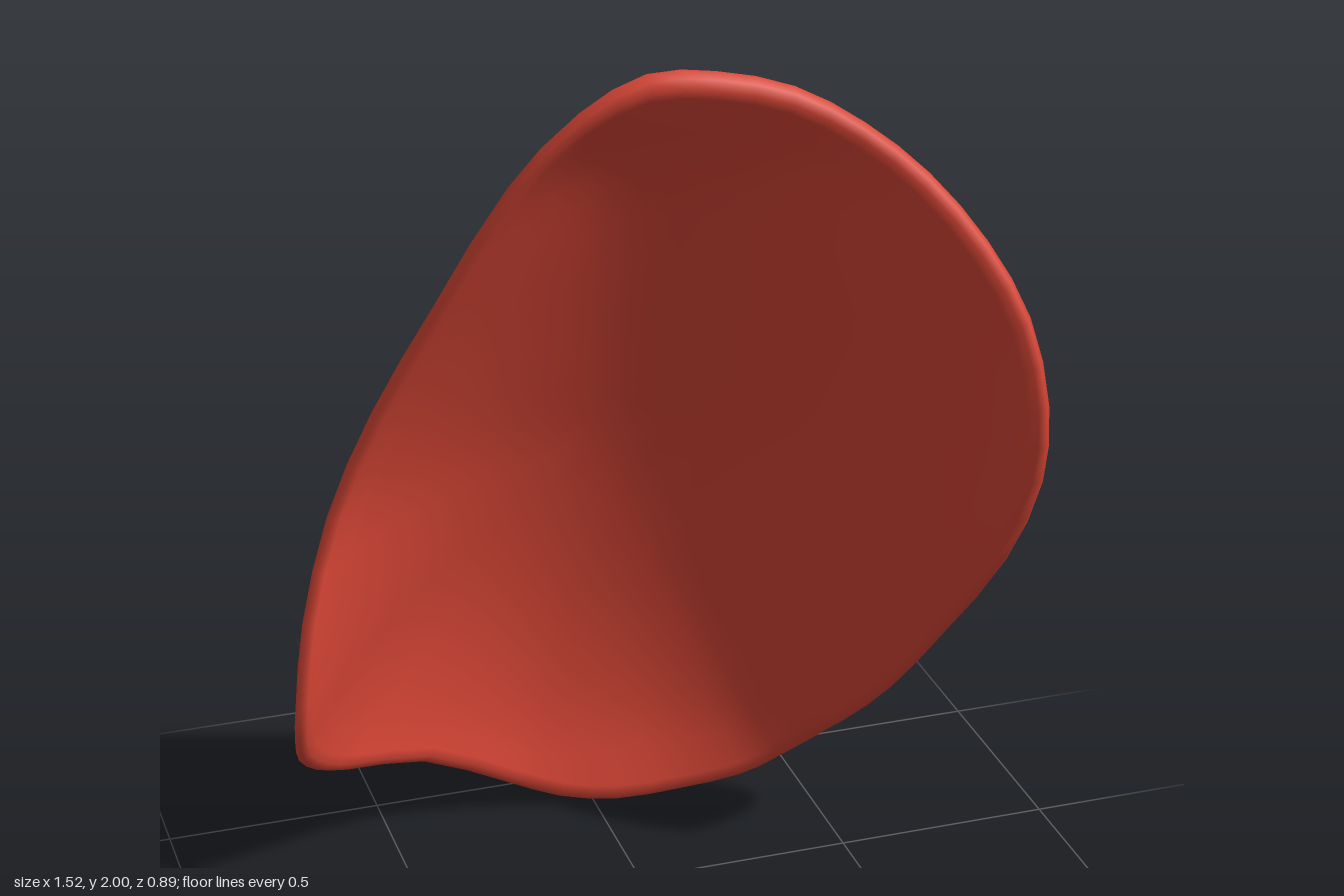
import * as THREE from 'three';
import { mergeVertices } from 'three/addons/utils/BufferGeometryUtils.js';

// Rim of the shell, clockwise from the top: x, y, z
const RIM = [
  [0.1, 2, 0.19], [0.26, 1.96, 0.215], [0.4, 1.88, 0.25], [0.53, 1.77, 0.29],
  [0.64, 1.63, 0.35], [0.72, 1.47, 0.405], [0.757, 1.28, 0.44], [0.757, 1.1, 0.43],
  [0.72, 0.88, 0.345], [0.66, 0.62, 0.165], [0.6, 0.42, 0.02], [0.53, 0.26, -0.12],
  [0.42, 0.12, -0.24], [0.34, 0.06, -0.29], [0.2, 0.02, -0.335], [0.05, 0.004, -0.36],
  [-0.08, 0.02, -0.385], [-0.2, 0.07, -0.4], [-0.42, 0.19, -0.36], [-0.63, 0.26, -0.26],
  [-0.7, 0.3, -0.21], [-0.75, 0.36, -0.16], [-0.763, 0.43, -0.13], [-0.761, 0.52, -0.115],
  [-0.735, 0.72, -0.125], [-0.66, 0.95, -0.17], [-0.56, 1.2, -0.135], [-0.44, 1.46, -0.05],
  [-0.3, 1.75, 0.055], [-0.17, 1.92, 0.13], [-0.04, 2, 0.165],
];

// Depth of the back along its spine, at even heights from 0 to 2
const SPINE = [-0.4, -0.437, -0.428, -0.382, -0.313, -0.22, -0.12, -0.01, 0.145];
const spine = new THREE.SplineCurve(SPINE.map((z, i) => new THREE.Vector2(i * 0.25, z)));

// The back is a parabolic trough swept along the spine
const trough = (x, y) =>
  spine.getPoint(THREE.MathUtils.clamp(y / 2, 0, 1)).y + 0.78 * (x + 0.17) ** 2;

function shellGeometry() {
  const rim = new THREE.CatmullRomCurve3(RIM.map((p) => new THREE.Vector3(...p)), true, 'centripetal');
  const segments = RIM.length * 2;
  const thickness = 0.055;
  const centre = { x: 0, y: 1 };

  // Rings run from the middle of the back, over the lip, to the middle of the front.
  // inset: distance from the rim as a share of the lip width; lift: share of thickness
  const rings = [];
  for (let i = 0; i <= 10; i++) rings.push({ t: 0.96 * Math.sin((i / 10) * Math.PI / 2), lift: 0 });
  rings.push({ inset: 0.25, lift: 0.05 }, { inset: 0, lift: 0.25 });
  rings.push({ inset: 0.3, lift: 0.7 }, { inset: 0.8, lift: 1 }, { inset: 1.3, lift: 1 });
  for (let i = 9; i >= 0; i--) rings.push({ t: 0.9 * Math.sin((i / 10) * Math.PI / 2), lift: 1 });

  const positions = [];
  const index = [];
  rings.forEach((ring, i) => {
    for (let j = 0; j < segments; j++) {
      const p = rim.getPoint(j / segments);
      // The lip widens into a small fold at the lower left corner
      const fold = Math.exp(-((p.x - 0.47) ** 2 + (p.y - 0.19) ** 2) / 0.006);
      const t = ring.t ?? 1 - ring.inset * (0.042 + 0.03 * fold);
      const x = centre.x + (p.x - centre.x) * t;
      const y = centre.y + (p.y - centre.y) * t;
      // Bend the trough so that it meets the rim exactly
      const bend = (p.z - thickness * 0.25 - trough(p.x, p.y)) * t ** 4;
      positions.push(x, y, trough(x, y) + bend + ring.lift * thickness);
      if (i < rings.length - 1) {
        const k = (j + 1) % segments;
        const a = i * segments + j, b = a + segments;
        const d = i * segments + k, c = d + segments;
        if (i < rings.length - 2) index.push(a, b, c);
        else index.push(a, b, d);
        if (i > 0 && i < rings.length - 2) index.push(a, c, d);
      }
    }
  });

  const geometry = new THREE.BufferGeometry();
  geometry.setAttribute('position', new THREE.Float32BufferAttribute(positions, 3));
  geometry.setIndex(index);
  const merged = mergeVertices(geometry, 1e-5);
  merged.computeVertexNormals();
  return merged;
}

export function createModel() {
  const group = new THREE.Group();
  group.name = 'curvedShell';
  const shell = new THREE.Mesh(shellGeometry(), new THREE.MeshStandardMaterial({ color: 0xd94636 }));
  shell.name = 'shell';
  group.add(shell);
  return group;
}
